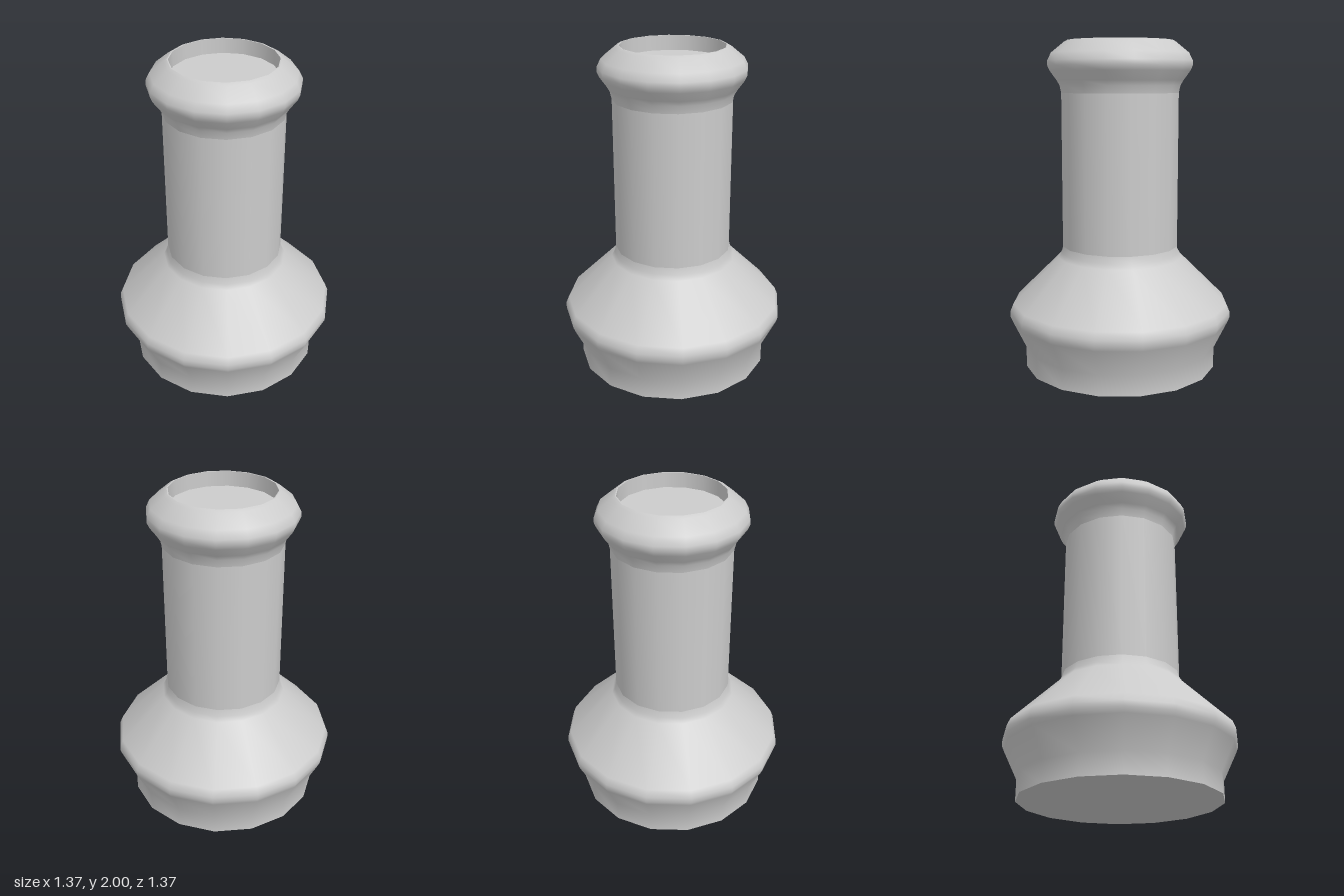
import * as THREE from 'three';

const SIDES = 16;
const material = new THREE.MeshStandardMaterial({ color: 0xcccccc });

// Revolves a [radius, height] profile; separate pieces keep hard edges sharp.
function turned(name, profile) {
  const points = profile.map(([r, y]) => new THREE.Vector2(r, y));
  const mesh = new THREE.Mesh(new THREE.LatheGeometry(points, SIDES), material);
  mesh.name = name;
  return mesh;
}

export function createModel() {
  const group = new THREE.Group();
  group.name = 'turnedPost';

  group.add(
    turned('baseUnderside', [[0, 0], [0.593, 0]]),
    // foot, flared bulge and sloping shoulder
    turned('base', [
      [0.593, 0], [0.593, 0.125], [0.675, 0.295], [0.687, 0.325],
      [0.687, 0.36], [0.668, 0.405], [0.385, 0.685], [0.367, 0.715], [0.357, 0.755],
    ]),
    turned('column', [[0.357, 0.755], [0.357, 1.69]]),
    // rounded collar at the top of the column
    turned('collar', [
      [0.357, 1.69], [0.367, 1.735], [0.385, 1.765], [0.425, 1.82],
      [0.438, 1.85], [0.438, 1.88], [0.415, 1.925], [0.335, 1.99], [0.316, 2],
    ]),
    turned('rim', [[0.316, 2], [0.309, 2]]),
    // shallow recess in the top
    turned('recessWall', [[0.309, 2], [0.309, 1.91]]),
    turned('recessFloor', [[0.309, 1.91], [0, 1.91]]),
  );
  return group;
}
